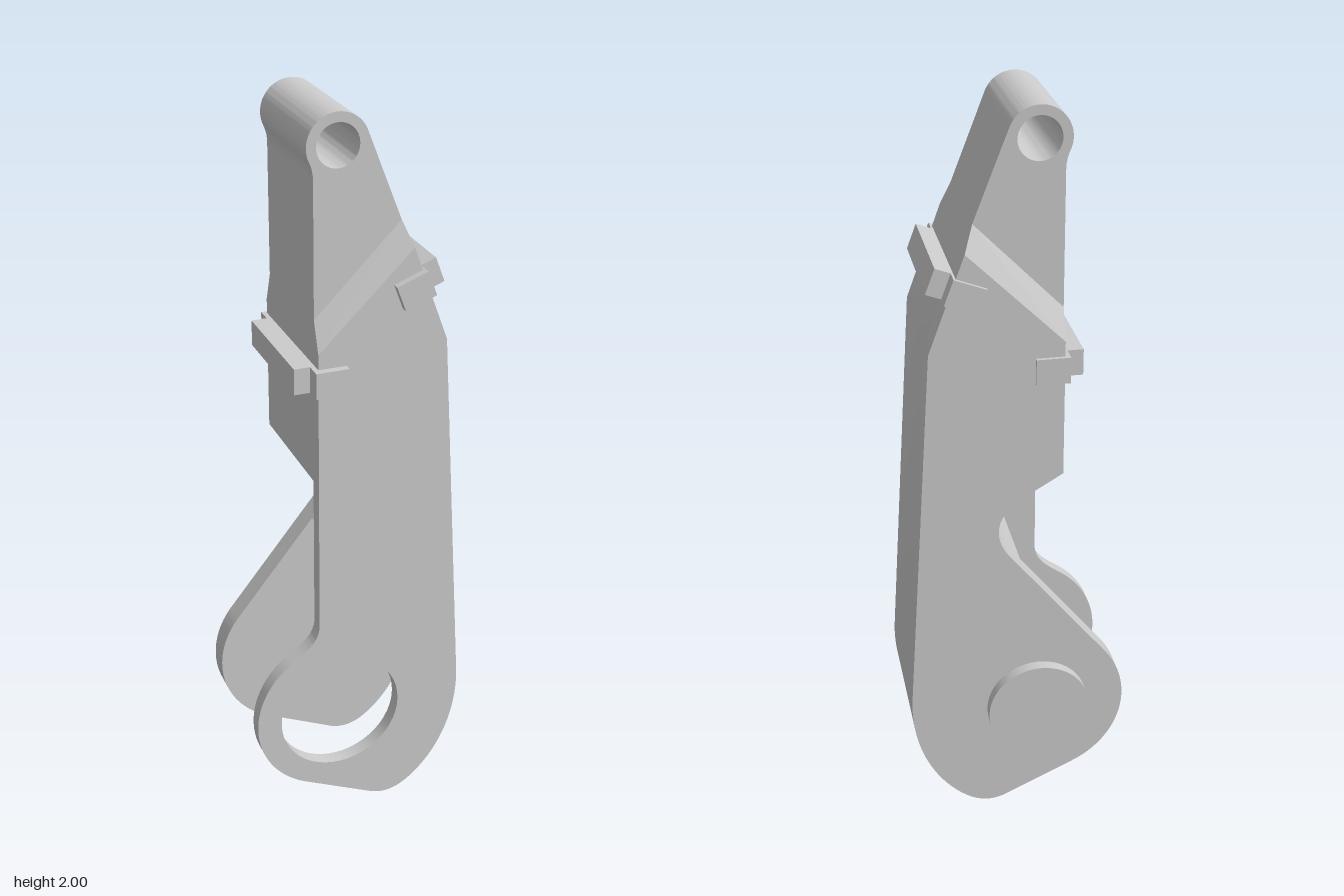
import * as THREE from 'three';
import { toCreasedNormals } from 'three/addons/utils/BufferGeometryUtils.js';
import { ConvexGeometry } from 'three/addons/geometries/ConvexGeometry.js';

const CX = -0.06, CY = 0.32, RING = 0.24;   // lower joint centre and outer radius
const FRONT = 0.2, BACK = -0.19;            // full body depth
const THIN_FRONT = 0.17, THIN_BACK = -0.16; // depth of the slim upper end
const material = new THREE.MeshStandardMaterial({ color: 0xcccccc });

function mesh(name, geometry) {
  const m = new THREE.Mesh(geometry, material);
  m.name = name;
  return m;
}

// Extrude a side profile between two z planes, smoothing only the curves
function slab(name, shape, z0, z1) {
  const geo = new THREE.ExtrudeGeometry(shape, { depth: z1 - z0, bevelEnabled: false, curveSegments: 24 });
  geo.translate(0, 0, z0);
  return mesh(name, toCreasedNormals(geo, 0.45));
}

function hole(shape, x, y, r) {
  shape.holes.push(new THREE.Path().absarc(x, y, r, 0, Math.PI * 2, true));
}

// Straight sloping right edge up to the start of the bevel
function closeRight(s) {
  s.lineTo(0.225, 1.4);
  s.lineTo(0.131, 1.655);
  s.closePath();
}

// Ring edge, pointed foot and outer right curve
function lowerOutline(s, startAngle) {
  s.absarc(CX, CY, RING, startAngle, 4.27, false);
  s.lineTo(0.03, 0.012);
  s.quadraticCurveTo(0.08, -0.012, 0.13, 0.015);
  s.bezierCurveTo(0.2, 0.055, 0.295, 0.17, 0.292, 0.36);
  closeRight(s);
}

// Rounded notch cut in from the left edge
function notch(s) {
  s.lineTo(-0.12, 1.04);
  s.lineTo(-0.02, 0.98);
  s.bezierCurveTo(0.05, 0.94, 0.075, 0.873, 0.02, 0.804);
}

function startProfile() {
  return new THREE.Shape().moveTo(-0.12, 1.41);
}

// Clip: a wide strap through the body and a narrower outer bar
function clip(name, x, y, angle) {
  const g = new THREE.Group();
  g.name = name;
  const strap = mesh('clipStrap', new THREE.BoxGeometry(0.088, 0.07, 0.42));
  strap.position.set(0.044, 0, 0.01);
  const bar = mesh('clipBar', new THREE.BoxGeometry(0.042, 0.07, 0.33));
  bar.position.set(0.109, 0, 0.01);
  g.add(strap, bar);
  g.position.set(x, y, 0);
  g.rotation.z = angle;
  return g;
}

export function createModel() {
  const model = new THREE.Group();
  model.name = 'linkArm';

  // Front plate with the open ring
  const front = startProfile();
  front.lineTo(-0.12, 0.62);
  front.bezierCurveTo(-0.12, 0.57, -0.15, 0.55, -0.2, 0.515);
  lowerOutline(front, 2.19);
  hole(front, CX, CY, 0.172);
  model.add(slab('frontPlate', front, 0.16, FRONT));

  // Back plate with the notch and solid pivot end
  const back = startProfile();
  notch(back);
  lowerOutline(back, 2.467);
  model.add(slab('backPlate', back, BACK, -0.127));

  // Core between the plates, hollowed around the joint
  const core = startProfile();
  notch(core);
  core.lineTo(-0.02, 0.754);
  core.quadraticCurveTo(0.2, 0.62, 0.24, 0.232);
  core.lineTo(0.278, 0.232);
  core.bezierCurveTo(0.287, 0.27, 0.293, 0.3125, 0.292, 0.36);
  closeRight(core);
  model.add(slab('core', core, -0.127, 0.16));

  // Slanted transition from full depth to the slim end
  const bevel = [];
  for (const [x, y, z0, z1] of [
    [-0.12, 1.41, BACK, FRONT], [0.131, 1.655, BACK, FRONT],
    [0.107, 1.72, THIN_BACK, THIN_FRONT], [-0.12, 1.49, THIN_BACK, THIN_FRONT],
  ]) bevel.push(new THREE.Vector3(x, y, z0), new THREE.Vector3(x, y, z1));
  model.add(mesh('bevel', new ConvexGeometry(bevel)));

  // Slim upper end with its eye
  const top = new THREE.Shape().moveTo(-0.12, 1.49);
  top.lineTo(0.107, 1.72);
  top.absarc(-0.057, 1.92, 0.08, 0.357, 3.6, false);
  top.quadraticCurveTo(-0.12, 1.865, -0.12, 1.84);
  top.closePath();
  hole(top, -0.057, 1.92, 0.055);
  model.add(slab('upperEnd', top, THIN_BACK, THIN_FRONT));

  // Pivot cap on the back plate
  const cap = mesh('pivotCap', new THREE.CylinderGeometry(0.14, 0.14, 0.04, 48));
  cap.rotation.x = Math.PI / 2;
  cap.position.set(-0.057, 0.318, -0.202);
  model.add(cap);

  // Clips on both edges
  model.add(clip('rightEdgeClip', 0.09, 1.533, 0.36));
  model.add(clip('leftEdgeClip', -0.045, 1.335, Math.PI));

  return model;
}
